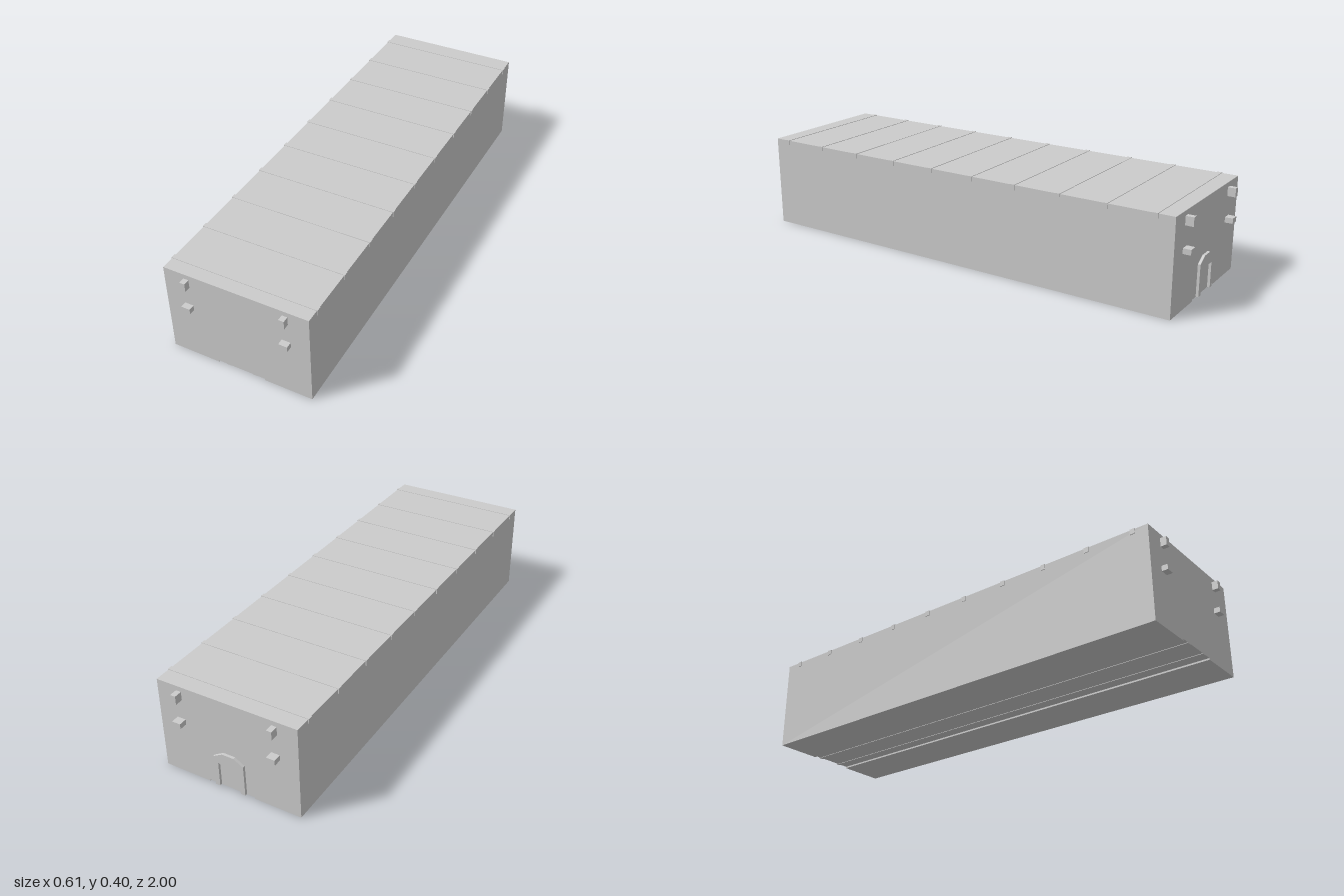
import * as THREE from 'three';

const BACK = -0.967, FRONT = 0.975, HALF = 0.3, TOP = 0.395;

export function createModel() {
  const group = new THREE.Group();
  const material = new THREE.MeshStandardMaterial({ color: 0xcccccc, flatShading: true });

  function add(name, geometry, x, y, z) {
    const mesh = new THREE.Mesh(geometry, material);
    mesh.name = name;
    mesh.position.set(x, y, z);
    group.add(mesh);
  }
  // Box given by its lower and upper limits on each axis
  function box(name, x0, x1, y0, y1, z0, z1) {
    add(name, new THREE.BoxGeometry(x1 - x0, y1 - y0, z1 - z0),
      (x0 + x1) / 2, (y0 + y1) / 2, (z0 + z1) / 2);
  }
  function extrude(shape, depth) {
    return new THREE.ExtrudeGeometry(shape, { depth, bevelEnabled: false });
  }
  function outline(points) {
    return points.map(([x, y]) => new THREE.Vector2(x, y));
  }

  // Long hall with a shallow channel along the underside
  const section = new THREE.Shape(outline([
    [-HALF, 0], [-0.1, 0], [-0.1, 0.007], [0.1, 0.007],
    [0.1, 0], [HALF, 0], [HALF, TOP], [-HALF, TOP],
  ]));
  add('hallBody', extrude(section, FRONT - BACK), 0, 0, BACK);

  // Two thin rails in the channel
  for (const side of [-1, 1]) {
    const x = side * 0.057;
    box('floorRail', x - 0.01, x + 0.01, 0.005, 0.009, BACK, FRONT);
  }

  // Roof ribs that hook over the side walls
  for (let i = 0; i < 10; i++) {
    const z = 0.91 - i * 0.2;
    box('roofRib', -0.303, 0.303, TOP - 0.01, 0.397, z - 0.01, z + 0.01);
    for (const side of [-1, 1]) {
      const x = side * 0.3;
      box('ribHook', x - 0.003, x + 0.003, 0.375, 0.397, z - 0.01, z + 0.01);
    }
  }

  // Upright and flat blocks on both end walls
  for (const side of [-1, 1]) {
    const x = side * 0.204;
    for (const [z0, z1] of [[FRONT - 0.01, 1], [-1, BACK + 0.01]]) {
      box('uprightBlock', x - 0.011, x + 0.011, 0.339, 0.375, z0, z1);
      box('flatBlock', x - 0.018, x + 0.018, 0.232, 0.254, z0, z1);
    }
  }

  // Gabled door surround on the back wall
  const surround = new THREE.Shape(outline([
    [-0.066, 0.008], [-0.046, 0.008], [-0.046, 0.115], [0.046, 0.115],
    [0.046, 0.008], [0.066, 0.008], [0.066, 0.14], [0.025, 0.164],
    [-0.025, 0.164], [-0.066, 0.14],
  ]));
  add('doorSurround', extrude(surround, 0.015), 0, 0, BACK - 0.011);

  return group;
}
